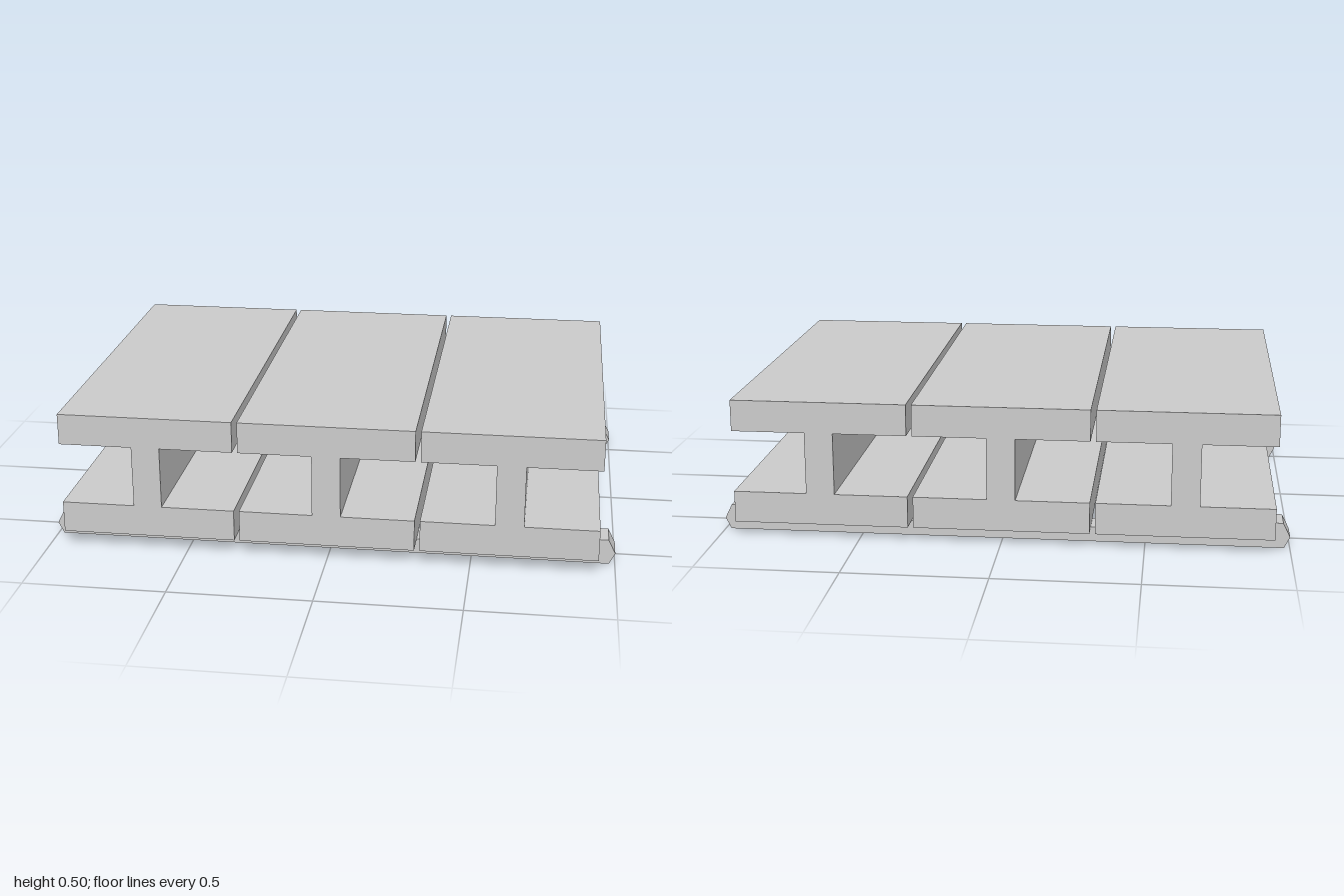
import * as THREE from 'three';

const material = new THREE.MeshStandardMaterial({ color: 0xcccccc, flatShading: true });

// Extrudes an x-y outline between two z values
function extrudeProfile(name, points, zBack, zFront) {
  const shape = new THREE.Shape(points.map(([x, y]) => new THREE.Vector2(x, y)));
  const geometry = new THREE.ExtrudeGeometry(shape, { depth: zFront - zBack, bevelEnabled: false });
  geometry.translate(0, 0, zBack);
  const mesh = new THREE.Mesh(geometry, material);
  mesh.name = name;
  return mesh;
}

// Completes a right-hand outline (bottom to top) with its mirror image
const mirrored = (half) => [...half, ...half.map(([x, y]) => [-x, y]).reverse()];

export function createModel() {
  const group = new THREE.Group();
  group.name = 'beamPlatform';

  // Three I-beams side by side with narrow gaps
  const flange = 0.308, web = 0.05;
  const beamProfile = mirrored([
    [flange, 0.053], [flange, 0.165], [web, 0.165],
    [web, 0.385], [flange, 0.385], [flange, 0.496],
  ]);
  ['right', 'middle', 'left'].forEach((side, i) => {
    const beam = extrudeProfile(side + 'Beam', beamProfile, -0.68, 0.68);
    beam.position.x = -0.002 + (i - 1) * 0.635;
    group.add(beam);
  });

  // Two cross rails with upturned, pointed ends
  const railProfile = mirrored([
    [0.98, 0], [1, 0.04], [0.975, 0.09], [0.943, 0.09], [0.943, 0.053],
  ]);
  group.add(extrudeProfile('frontRail', railProfile, 0.488, 0.585));
  group.add(extrudeProfile('backRail', railProfile, -0.605, -0.508));

  return group;
}
